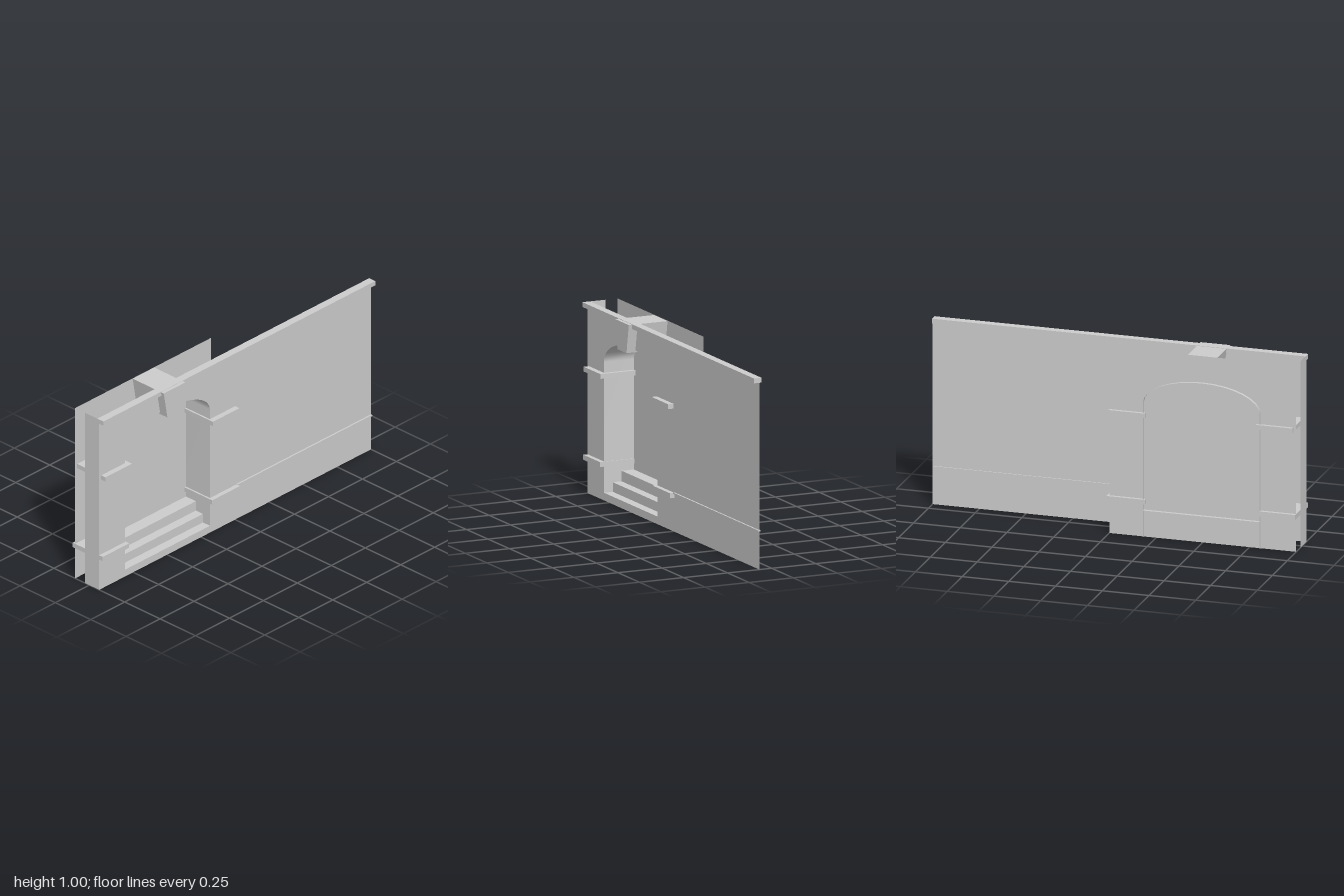
import * as THREE from 'three';

const FRONT = 0.07, PANEL = -0.1, BACK = -0.117;
const ARCH = { cx: -0.4975, half: 0.3125, spring: 0.722, rise: 0.137 };

export function createModel() {
  const model = new THREE.Group();
  model.name = 'archedWallSection';
  const stone = new THREE.MeshStandardMaterial({ color: 0xcccccc, side: THREE.DoubleSide });
  stone.name = 'pale grey stone';

  const add = (name, geometry) => {
    const mesh = new THREE.Mesh(geometry, stone);
    mesh.name = name;
    model.add(mesh);
    return mesh;
  };
  // Box given by its limits on each axis
  const box = (name, x0, x1, y0, y1, z0, z1) =>
    add(name, new THREE.BoxGeometry(x1 - x0, y1 - y0, z1 - z0))
      .position.set((x0 + x1) / 2, (y0 + y1) / 2, (z0 + z1) / 2);

  // Doorway outline: right jamb, flattened arch, left jamb
  const doorway = (bottom) => {
    const pts = [new THREE.Vector2(ARCH.cx - ARCH.half, bottom)];
    for (let i = 0; i <= 16; i++) {
      const a = Math.PI * (1 - i / 16);
      pts.push(new THREE.Vector2(
        ARCH.cx + ARCH.half * Math.cos(a), ARCH.spring + ARCH.rise * Math.sin(a)));
    }
    pts.push(new THREE.Vector2(ARCH.cx + ARCH.half, bottom));
    return pts;
  };

  // Front wall sheet with the doorway cut out
  const wall = new THREE.Shape();
  wall.moveTo(-1, 0).lineTo(1, 0).lineTo(1, 1).lineTo(-1, 1).closePath();
  wall.holes.push(new THREE.Path(doorway(0.04)));
  add('frontWall', new THREE.ShapeGeometry(wall)).position.z = FRONT;

  // Short return at the wall's end
  const side = add('wallReturn', new THREE.PlaneGeometry(0.1, 1));
  side.rotation.y = -Math.PI / 2;
  side.position.set(-1, 0.5, FRONT - 0.05);

  // Panel closing the back of the doorway
  add('backPanel', new THREE.PlaneGeometry(1, 1).rotateY(Math.PI)).position.set(-0.5, 0.5, PANEL);

  // Open strip swept between two depths; points are [x, y, z0, z1] pairs of ends
  const strip = (name, a, b) => {
    const pos = [], index = [];
    a.forEach((p, i) => {
      pos.push(...p, ...b[i]);
      if (i) {
        const k = 2 * i;
        index.push(k - 2, k, k - 1, k - 1, k, k + 1);
      }
    });
    let g = new THREE.BufferGeometry();
    g.setAttribute('position', new THREE.Float32BufferAttribute(pos, 3));
    g.setIndex(index);
    if (name === 'steps') g = g.toNonIndexed();
    g.computeVertexNormals();
    return add(name, g);
  };

  // Jambs and arch soffit
  const outline = doorway(0);
  strip('doorwayReveal',
    outline.map((p) => [p.x, p.y, BACK]), outline.map((p) => [p.x, p.y, FRONT]));

  // Three steps as a folded sheet of risers and treads
  const profile = [[0, FRONT], [0.04, FRONT], [0.04, 0.02], [0.09, 0.02],
    [0.09, -0.03], [0.145, -0.03], [0.145, BACK]];
  const left = ARCH.cx + ARCH.half, right = ARCH.cx - ARCH.half;
  strip('steps', profile.map(([y, z]) => [left, y, z]), profile.map(([y, z]) => [right, y, z]));

  // Bands wrapping the piers on both sides of the doorway
  box('rightImpost', -0.985, -0.79, 0.641, 0.666, BACK, 0.1);
  box('leftImpost', -0.195, 0, 0.641, 0.666, BACK, 0.1);
  box('rightBaseBand', -1, -0.805, 0.177, 0.203, BACK, 0.095);
  box('leftBaseBand', -0.195, 0.01, 0.177, 0.203, BACK, 0.095);

  // Cornice and thin plinth moulding
  box('cornice', -1, 1, 0.975, 1, 0.057, 0.1);
  box('plinthMoulding', 0.01, 1, 0.199, 0.206, 0.064, 0.079);

  // Tapered keystone
  const key = new THREE.Shape();
  key.moveTo(-0.55, 0.846).lineTo(-0.445, 0.846).lineTo(-0.418, 0.998).lineTo(-0.577, 0.998).closePath();
  add('keystone', new THREE.ExtrudeGeometry(key, { depth: 0.22, bevelEnabled: false }))
    .position.z = PANEL;

  return model;
}
